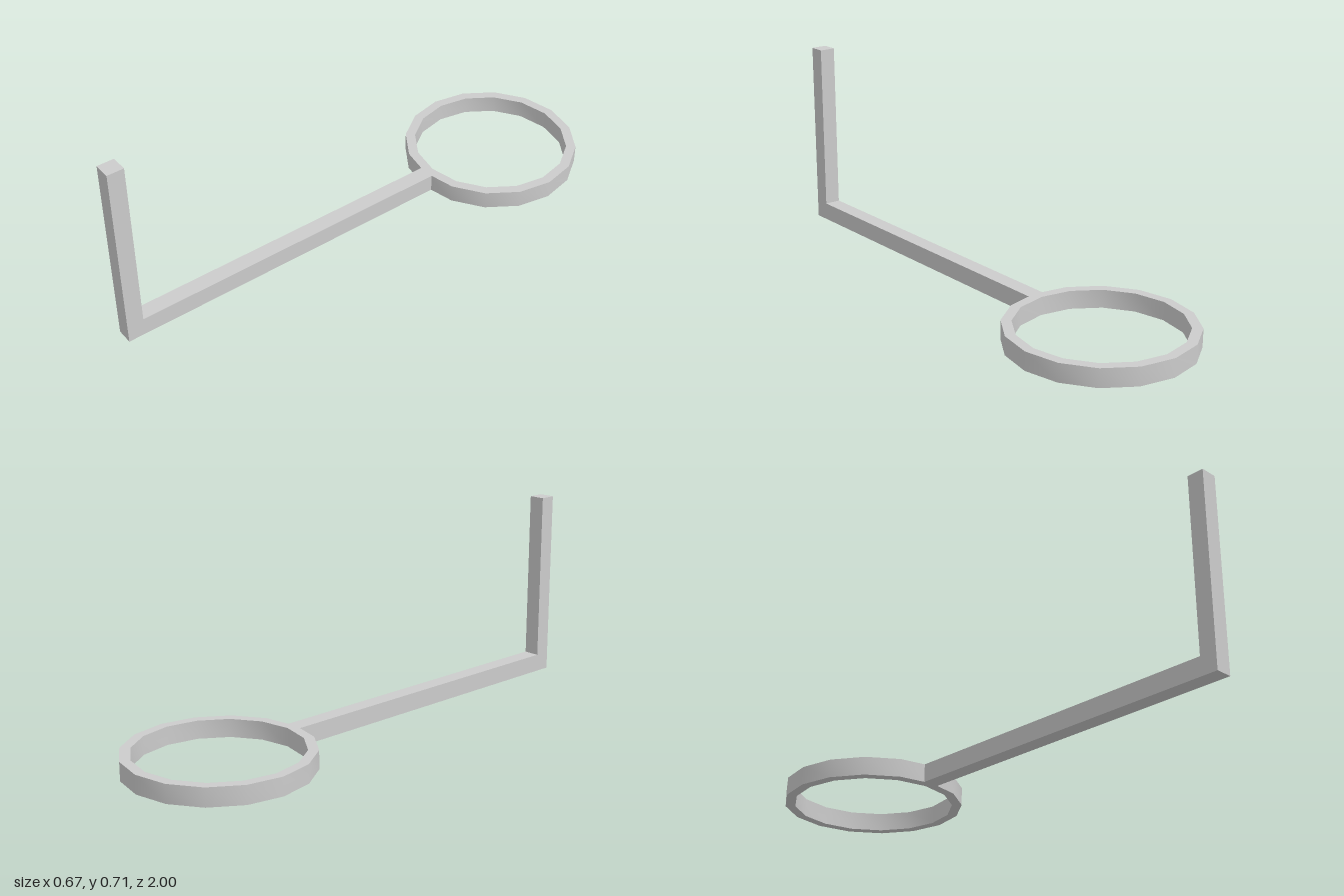
import * as THREE from 'three';
import { toCreasedNormals } from 'three/addons/utils/BufferGeometryUtils.js';

export function createModel() {
  const group = new THREE.Group();
  const material = new THREE.MeshStandardMaterial({ color: 0xcccccc });
  const barHeight = 0.068, barWidth = 0.062, ringRadius = 0.335, ringInner = 0.298;

  // L-shaped handle: side profile (z, y) extruded across x; its back end sits inside the ring wall
  const back = -0.345, front = 1, postBack = 0.938, postTop = 0.715;
  const profile = new THREE.Shape([
    [back, 0], [front, 0], [front, postTop], [postBack, postTop], [postBack, barHeight], [back, barHeight],
  ].map(([z, y]) => new THREE.Vector2(z, y)));
  const handleGeometry = new THREE.ExtrudeGeometry(profile, { depth: barWidth, bevelEnabled: false });
  handleGeometry.translate(0, 0, -barWidth / 2).rotateY(-Math.PI / 2);
  const handle = new THREE.Mesh(handleGeometry, material);
  handle.name = 'handle';
  group.add(handle);

  // 16-sided flat ring with smooth walls and sharp rims
  const section = [
    [ringRadius, 0], [ringRadius, barHeight], [ringInner, barHeight], [ringInner, 0], [ringRadius, 0],
  ].map(([r, y]) => new THREE.Vector2(r, y));
  const ring = new THREE.Mesh(toCreasedNormals(new THREE.LatheGeometry(section, 16), 0.6), material);
  ring.name = 'ring';
  ring.position.z = -1 + ringRadius;
  group.add(ring);

  return group;
}
